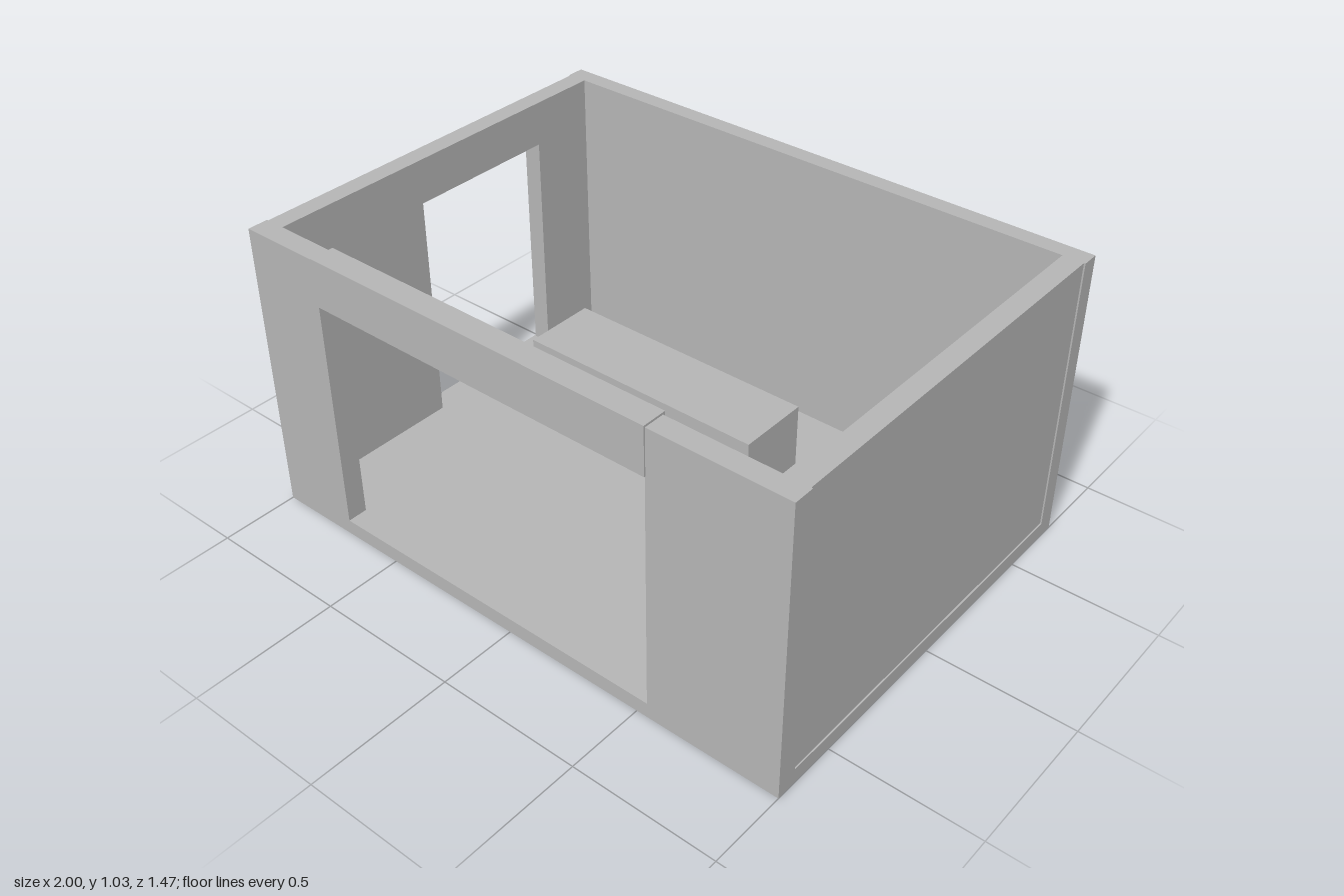
import * as THREE from 'three';

export function createModel() {
  const room = new THREE.Group();
  room.name = 'openRoom';
  const grey = new THREE.MeshStandardMaterial({ color: 0xb4b4b4 });
  grey.name = 'plain grey';

  const FLOOR = 0.053, TOP = 1.02, DOOR_TOP = 0.866;

  // Box given by its minimum and maximum on each axis
  function block(name, [x0, x1], [y0, y1], [z0, z1]) {
    const mesh = new THREE.Mesh(new THREE.BoxGeometry(x1 - x0, y1 - y0, z1 - z0), grey);
    mesh.position.set((x0 + x1) / 2, (y0 + y1) / 2, (z0 + z1) / 2);
    mesh.name = name;
    room.add(mesh);
  }

  // Floor slab and the closed walls; the side walls sit slightly inset
  block('floor', [-1, 1], [0, FLOOR], [-0.735, 0.73]);
  block('backWall', [-1, 1], [FLOOR, TOP], [-0.734, -0.674]);
  block('leftWall', [0.926, 0.995], [FLOOR, TOP], [-0.674, 0.66]);

  // Side wall with a doorway, drawn as z across and y up
  const outline = [
    [-0.674, FLOOR], [-0.435, FLOOR], [-0.435, DOOR_TOP], [0.108, DOOR_TOP],
    [0.108, FLOOR], [0.66, FLOOR], [0.66, TOP], [-0.674, TOP],
  ].map(([z, y]) => new THREE.Vector2(z, y));
  const doorWallGeometry = new THREE.ExtrudeGeometry(new THREE.Shape(outline), {
    depth: 0.065, bevelEnabled: false,
  });
  doorWallGeometry.rotateY(-Math.PI / 2);
  const doorWall = new THREE.Mesh(doorWallGeometry, grey);
  doorWall.position.x = -0.93;
  doorWall.name = 'doorwayWall';
  room.add(doorWall);

  // Front wall: two piers joined by a slightly thicker lintel
  block('frontPierRight', [-1, -0.712], [FLOOR, TOP], [0.66, 0.73]);
  block('frontPierLeft', [0.538, 1], [FLOOR, TOP], [0.66, 0.73]);
  block('frontLintel', [-0.714, 0.54], [DOOR_TOP, 1.027], [0.652, 0.735]);

  // Furniture blocks standing on the floor
  block('longBench', [-0.73, 0.21], [FLOOR, 0.288], [-0.425, -0.157]);
  block('cornerCabinet', [0.481, 0.909], [FLOOR, 0.348], [-0.612, -0.372]);

  return room;
}
